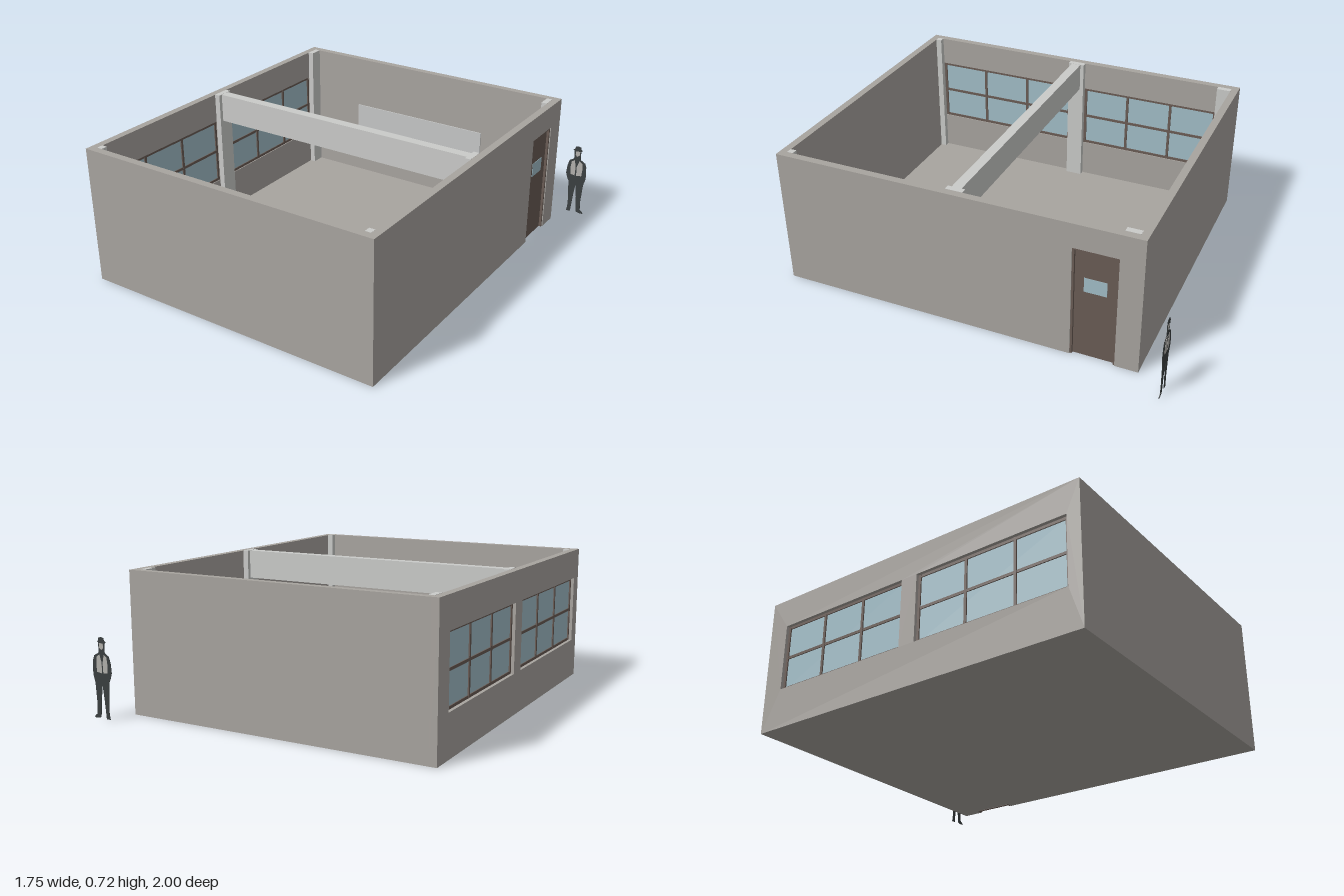
import * as THREE from 'three';

const mat = (name, color) => new THREE.MeshStandardMaterial({ name, color });

export function createModel() {
  const model = new THREE.Group();
  model.name = 'openRoom';

  const wallMat = mat('wallGrey', 0xa8a49f);
  const concrete = mat('paleConcrete', 0xcacbc9);
  const boardMat = mat('boardWhite', 0xc6c7c7);
  const brown = mat('doorBrown', 0x6a5c55);
  const glass = mat('paleBlueGlass', 0xa2bec8);
  const dark = mat('suitDark', 0x3a3f40);
  const light = mat('vestGrey', 0xb2b0ac);

  // Box given by its limits on each axis
  const box = (name, m, x0, x1, y0, y1, z0, z1, parent = model) => {
    const mesh = new THREE.Mesh(new THREE.BoxGeometry(x1 - x0, y1 - y0, z1 - z0), m);
    mesh.position.set((x0 + x1) / 2, (y0 + y1) / 2, (z0 + z1) / 2);
    mesh.name = name;
    parent.add(mesh);
    return mesh;
  };

  const X0 = -0.88, X1 = 0.74, Z0 = -0.86, Z1 = 1, H = 0.715, T = 0.038;
  const xi0 = X0 + T, xi1 = X1 - T, zi0 = Z0 + T, zi1 = Z1 - T;

  // Floor and the two plain walls
  box('floor', wallMat, xi0, xi1, 0, 0.006, zi0, zi1);
  box('frontWall', wallMat, xi0, xi1, 0, H, zi1, Z1);
  box('backWall', wallMat, xi0, xi1, 0, H, Z0, zi0);

  // Side walls: outline in (z, y), extruded through the wall thickness
  const sideWall = (name, outline, holes, xOuter) => {
    const shape = new THREE.Shape(outline.map(([z, y]) => new THREE.Vector2(z, y)));
    for (const [z0, z1, y0, y1] of holes) {
      shape.holes.push(new THREE.Path([[z0, y0], [z0, y1], [z1, y1], [z1, y0]]
        .map(([z, y]) => new THREE.Vector2(z, y))));
    }
    const geo = new THREE.ExtrudeGeometry(shape, { depth: T, bevelEnabled: false });
    geo.rotateY(-Math.PI / 2);
    const mesh = new THREE.Mesh(geo, wallMat);
    mesh.position.x = xOuter;
    mesh.name = name;
    model.add(mesh);
  };

  const openings = [[-0.75, 0.02, 0.21, 0.56], [0.11, 0.93, 0.21, 0.56]];
  sideWall('windowWall', [[Z0, 0], [Z1, 0], [Z1, H], [Z0, H]], openings, xi0);

  const dz0 = -0.745, dz1 = -0.525, dTop = 0.59;
  sideWall('doorWall', [[Z0, 0], [dz0, 0], [dz0, dTop], [dz1, dTop], [dz1, 0],
    [Z1, 0], [Z1, H], [Z0, H]], [], X1);

  // Windows: three by two panes behind a slim frame
  for (const [z0, z1, y0, y1] of openings) {
    const win = new THREE.Group();
    win.name = 'window';
    model.add(win);
    const xa = -0.864, xb = -0.846, b = 0.014;
    box('windowGlass', glass, -0.858, -0.852, y0, y1, z0, z1, win);
    for (let i = 0; i <= 3; i++) {
      const z = z0 + (z1 - z0 - b) * i / 3;
      box('windowUpright', brown, xa, xb, y0, y1, z, z + b, win);
    }
    for (let i = 0; i <= 2; i++) {
      const y = y0 + (y1 - y0 - b) * i / 2;
      box('windowRail', brown, xa + 0.001, xb - 0.001, y, y + b, z0, z1, win);
    }
  }

  // Door with its frame and a small pane on both faces
  const door = new THREE.Group();
  door.name = 'door';
  model.add(door);
  box('doorLeaf', brown, 0.708, 0.722, 0, dTop - 0.01, dz0 + 0.01, dz1 - 0.01, door);
  box('doorJamb', brown, 0.703, 0.735, 0, dTop, dz0, dz0 + 0.01, door);
  box('doorJamb', brown, 0.703, 0.735, 0, dTop, dz1 - 0.01, dz1, door);
  box('doorHead', brown, 0.703, 0.735, dTop - 0.01, dTop, dz0 + 0.01, dz1 - 0.01, door);
  box('doorPane', glass, 0.722, 0.724, 0.36, 0.435, -0.69, -0.58, door);
  box('doorPane', glass, 0.706, 0.708, 0.36, 0.435, -0.69, -0.58, door);

  // Columns along both side walls and the beam joining the middle pair
  for (const [z0, z1] of [[zi0, -0.75], [0.02, 0.11], [0.93, zi1]]) {
    box('rightColumn', concrete, xi0, xi0 + 0.03, 0.006, H + 0.001, z0, z1);
    box('leftColumn', concrete, xi1 - 0.03, xi1, 0.006, H + 0.001, z0, z1);
  }
  box('beam', concrete, xi0 + 0.03, xi1 - 0.03, 0.565, H, 0.04, 0.09);

  // Board on the back wall
  box('wallBoard', boardMat, -0.525, 0.296, 0.16, 0.428, zi0, zi0 + 0.006);

  // Flat standing figure, cut from thin plates
  const figure = new THREE.Group();
  figure.name = 'standingFigure';
  figure.position.z = -0.998;
  model.add(figure);
  const plate = (name, m, pts, depth) => {
    const shape = new THREE.Shape(pts.map(([x, y]) => new THREE.Vector2(x, y)));
    const geo = new THREE.ExtrudeGeometry(shape, { depth, bevelEnabled: false });
    geo.translate(0, 0, -depth / 2);
    const mesh = new THREE.Mesh(geo, m);
    mesh.name = name;
    figure.add(mesh);
  };
  plate('figureBody', dark, [
    [0.773, 0.003], [0.797, 0.003], [0.799, 0.03], [0.805, 0.1], [0.814, 0.172],
    [0.824, 0.1], [0.829, 0.03], [0.833, 0.008], [0.85, 0.003], [0.872, 0.003],
    [0.87, 0.012], [0.854, 0.024], [0.852, 0.08], [0.857, 0.16], [0.86, 0.185],
    [0.867, 0.21], [0.87, 0.24], [0.866, 0.29], [0.858, 0.312], [0.83, 0.328],
    [0.828, 0.345], [0.83, 0.378], [0.837, 0.383], [0.828, 0.388], [0.826, 0.402],
    [0.81, 0.405], [0.796, 0.402], [0.793, 0.388], [0.782, 0.383], [0.79, 0.376],
    [0.793, 0.345], [0.791, 0.328], [0.767, 0.314], [0.757, 0.28], [0.753, 0.235],
    [0.762, 0.205], [0.771, 0.188], [0.776, 0.12], [0.78, 0.05], [0.777, 0.02],
  ], 0.0024);
  plate('figureVestRight', light, [[0.779, 0.232], [0.804, 0.228], [0.806, 0.28],
    [0.797, 0.32], [0.78, 0.308], [0.776, 0.27]], 0.004);
  plate('figureVestLeft', light, [[0.813, 0.228], [0.843, 0.232], [0.846, 0.27],
    [0.842, 0.308], [0.824, 0.32], [0.812, 0.28]], 0.004);
  plate('figureFace', light, [[0.799, 0.352], [0.808, 0.343], [0.822, 0.352],
    [0.824, 0.376], [0.799, 0.374]], 0.004);

  return model;
}
